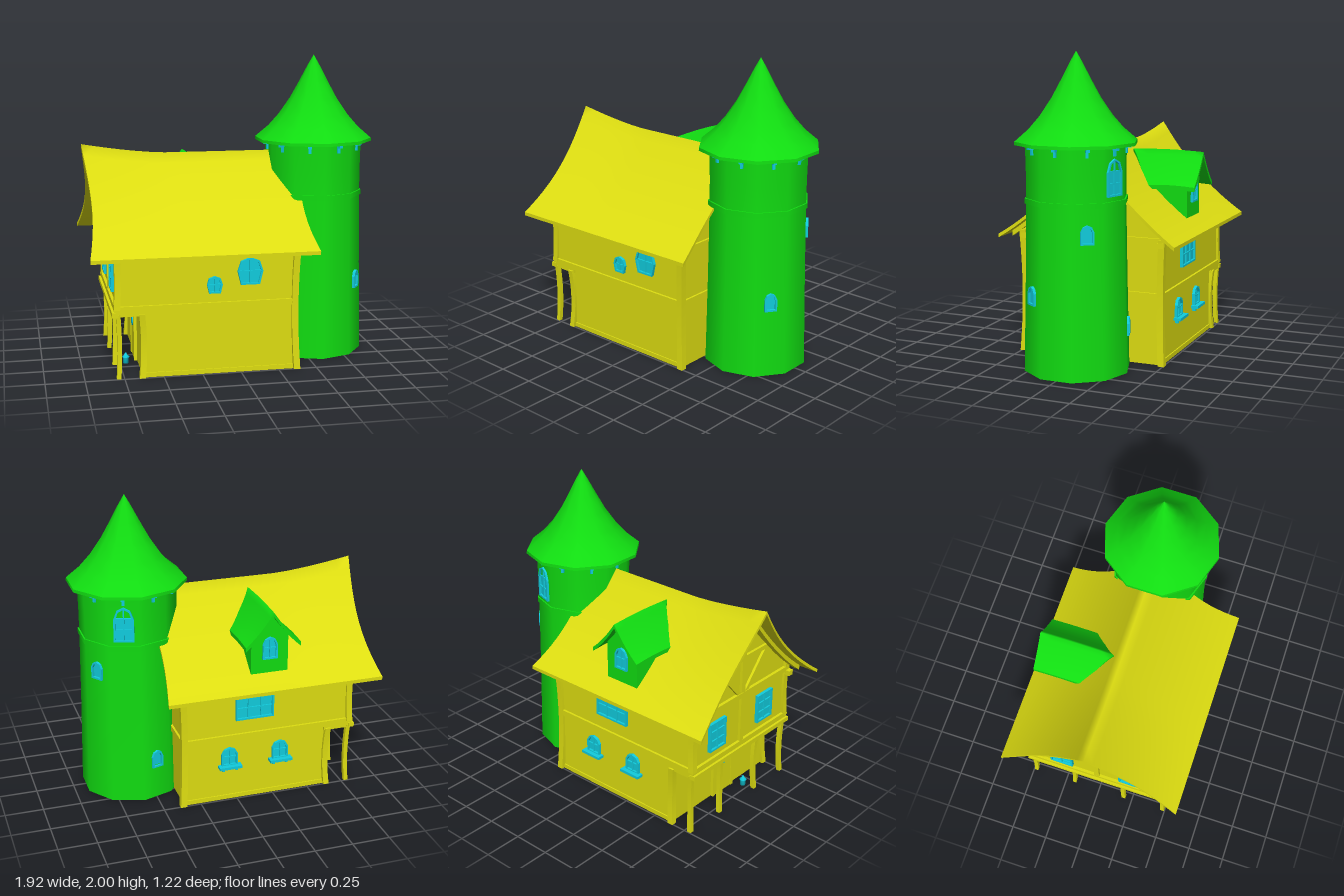
import * as THREE from 'three';

const mat = (c) => new THREE.MeshStandardMaterial({ color: c, side: THREE.DoubleSide });

export function createModel() {
  const yellow = mat(0xdddd11), green = mat(0x11dd11), cyan = mat(0x11ccdd);
  const root = new THREE.Group();
  root.name = 'cottageWithTower';

  const add = (name, geo, m, parent = root) => {
    const mesh = new THREE.Mesh(geo, m);
    mesh.name = name;
    parent.add(mesh);
    return mesh;
  };
  // Box given by its minimum and maximum corners
  const block = (name, a, b, m = yellow, parent = root) => {
    const mesh = add(name, new THREE.BoxGeometry(b[0] - a[0], b[1] - a[1], b[2] - a[2]), m, parent);
    mesh.position.set((a[0] + b[0]) / 2, (a[1] + b[1]) / 2, (a[2] + b[2]) / 2);
    return mesh;
  };
  // Move every vertex of a geometry by a rule, then refresh the normals
  const reshape = (geo, rule) => {
    const p = geo.attributes.position, v = new THREE.Vector3();
    for (let i = 0; i < p.count; i++) {
      rule(v.fromBufferAttribute(p, i));
      p.setXYZ(i, v.x, v.y, v.z);
    }
    geo.computeVertexNormals();
    return geo;
  };
  const polygon = (pts) => new THREE.Shape(pts.map(([x, y]) => new THREE.Vector2(x, y)));
  const extrude = (shape, depth) => new THREE.ExtrudeGeometry(shape, { depth, bevelEnabled: false });

  // ---------- windows ----------
  const outlines = {
    rect: [[-.5, 0], [.5, 0], [.5, 1], [-.5, 1]],
    arch: [[-.5, 0], [.5, 0], [.5, .65], [.33, .9], [0, 1], [-.33, .9], [-.5, .65]],
    round: [[-.37, 0], [.37, 0], [.5, .5], [.37, .87], [0, 1], [-.37, .87], [-.5, .5]],
  };
  // Framed window facing local +z, centred on its origin
  const addWindow = (name, kind, w, h, pos, turn, cols = 2, rows = 2, sill = false) => {
    const g = new THREE.Group();
    g.name = name;
    const f = 0.012;
    const outer = outlines[kind].map(([x, y]) => [x * w, (y - .5) * h]);
    const inner = outer.map(([x, y]) => [x * (1 - 2 * f / w), y * (1 - 2 * f / h)]);
    const frame = polygon(outer);
    frame.holes.push(polygon(inner));
    add('frame', extrude(frame, .035), cyan, g).position.z = -.02;
    add('pane', extrude(polygon(inner), .02), cyan, g).position.z = -.02;
    for (let i = 1; i < cols; i++) {
      const x = (i / cols - .5) * w;
      block('mullion', [x - .004, -h / 2 + f, -.01], [x + .004, h / 2 - f, .01], cyan, g);
    }
    for (let i = 1; i < rows; i++) {
      const y = (i / rows - .5) * h;
      block('glazingBar', [-w / 2 + f, y - .004, -.01], [w / 2 - f, y + .004, .01], cyan, g);
    }
    if (sill) {
      block('sill', [-w * .7, -h / 2 - .012, -.01], [w * .7, -h / 2 + .006, .045], cyan, g);
      for (const s of [-1, 1])
        block('sillBracket', [s * w * .4 - .008, -h / 2 - .035, -.01], [s * w * .4 + .008, -h / 2 - .01, .02], cyan, g);
    }
    g.position.set(...pos);
    g.rotation.y = turn;
    root.add(g);
  };

  // ---------- main roof ----------
  const roofY = (a) => 1.37 - 1.25 * a + .52 * a * a;
  const lift = (x, a) => .068 * Math.pow(Math.max(0, (-.4 - x) / .56), 1.5) * (1 - a / .61);
  const roofStrip = (x0, x1, half, thick, drop, sag) =>
    reshape(new THREE.BoxGeometry(1, 1, 1, 16, 1, 24), (v) => {
      const a = Math.abs(v.z) * 2 * half;
      v.x = (x0 + x1) / 2 + v.x * (x1 - x0 - sag * Math.sin(Math.PI * a / .61));
      v.z *= 2 * half;
      v.y = roofY(a) + lift(v.x, a) - drop + (v.y - .5) * thick;
    });
  add('mainRoof', roofStrip(-.96, .49, .61, .024, 0, .08), yellow);
  for (const x of [-.83, .37]) add('gableRafters', roofStrip(x - .02, x + .02, .56, .035, .024, 0), yellow);

  // ---------- house walls ----------
  const gable = [[-.48, .42], [.48, .42]];
  for (let i = 8; i >= -8; i--) gable.push([i * .06, roofY(Math.abs(i) * .06) - .02]);
  add('upperStorey', extrude(polygon(gable), 1.15).rotateY(Math.PI / 2).translate(-.79, 0, 0), yellow);

  const ring = polygon([[-.63, -.48], [.36, -.48], [.36, .48], [-.63, .48]]);
  ring.holes.push(polygon([[-.61, -.46], [.34, -.46], [.34, .46], [-.61, .46]]));
  add('lowerStorey', extrude(ring, .42).rotateX(-Math.PI / 2), yellow);

  // Bowed timber post, flaring outward at both ends
  const post = (name, x, z, y0, y1, t, bow) => add(name,
    reshape(new THREE.BoxGeometry(t, y1 - y0, t, 1, 8, 1), (v) => {
      const k = Math.pow(2 * v.y / (y1 - y0), 2);
      v.x += x + bow * k * Math.sign(x);
      v.y += (y0 + y1) / 2;
      v.z += z + bow * k * Math.sign(z);
    }), yellow);
  for (const s of [-1, 1]) {
    post('cornerPost', .355, s * .475, 0, .82, .042, .014);
    post('lowerCornerPost', -.625, s * .477, 0, .42, .038, .012);
    post('upperCornerPost', -.785, s * .473, .45, .86, .04, .008);
    for (const z of [.18, .475]) post('porchPillar', -.778, s * z, 0, .42, .028, .008);
    block('floorBeam', [-.81, .43, s * .482 - .014], [.365, .47, s * .482 + .014]);
    block('porchBeam', [-.825, .405, s * .475 - .02], [-.61, .435, s * .475 + .02]);
    block('wallPlate', [-.84, .765, s * .48 - .02], [.39, .8, s * .48 + .02]);
    block('basePlate', [-.62, 0, s * .478 - .01], [.35, .03, s * .478 + .01]);
  }

  // Timber framing on both gable ends
  for (const x of [-.795, .36]) {
    block('gableSill', [x - .014, .43, -.48], [x + .014, .47, .48]);
    block('tieBeam', [x - .016, .79, -.5], [x + .016, .825, .5]);
    block('kingPost', [x - .014, .82, -.018], [x + .014, 1.34, .018]);
    block('collarBeam', [x - .013, 1.05, -.25], [x + .013, 1.08, .25]);
    block('middleStud', [x - .013, .47, -.018], [x + .013, .79, .018]);
    for (const s of [-1, 1]) {
      const brace = block('gableBrace', [x - .012, .8, -.014], [x + .012, 1.1, .014]);
      brace.position.z = s * .13;
      brace.position.y = .93;
      brace.rotation.x = s * .72;
    }
  }
  block('porchEdgeBeam', [-.825, .405, -.5], [-.785, .435, .5]);

  // Porch door with a round light, and a lantern on the ground
  block('door', [-.645, 0, -.06], [-.605, .36, .12]);
  for (const z of [-.07, .12]) block('doorJamb', [-.65, 0, z - .012], [-.6, .38, z + .012]);
  block('doorLintel', [-.65, .36, -.09], [-.6, .385, .14]);
  const light = add('doorLight', new THREE.CylinderGeometry(.035, .035, .055, 8), cyan);
  light.position.set(-.625, .25, .03);
  light.rotation.z = Math.PI / 2;
  const lantern = add('lantern', new THREE.LatheGeometry(
    [[0, 0], [.018, 0], [.018, .04], [.026, .042], [.01, .058], [.005, .07], [0, .07]]
      .map(([r, y]) => new THREE.Vector2(r, y)), 8), cyan);
  lantern.position.set(-.71, 0, .17);

  // House windows
  addWindow('frontWindow', 'round', .165, .175, [.06, .665, .485], 0);
  addWindow('smallFrontWindow', 'round', .1, .11, [-.17, .585, .485], 0);
  addWindow('wideBackWindow', 'rect', .26, .16, [-.12, .65, -.485], Math.PI, 3, 2);
  for (const x of [.05, -.3]) addWindow('lowerBackWindow', 'arch', .11, .13, [x, .315, -.485], Math.PI, 2, 2, true);
  for (const z of [-.25, .24]) addWindow('gableWindow', 'rect', .16, .2, [-.797, .625, z], -Math.PI / 2, 2, 3);

  // ---------- dormer ----------
  const dormerY = (a) => 1.315 - 1.5 * a + 1.8 * a * a;
  add('dormerRoof', reshape(new THREE.BoxGeometry(.37, 1, 1, 16, 1, 6), (v) => {
    const a = Math.abs(v.x), t = v.z + .5;
    v.z = -.56 + t * (.5 - .16 * Math.pow(a / .185, .8));
    v.x -= .215;
    v.y = dormerY(a) + .008 * Math.sin(Math.PI * t) + (v.y - .5) * .028;
  }), green);
  const face = [[-.125, .87], [.125, .87]];
  for (let i = 5; i >= -5; i--) face.push([i * .025, dormerY(Math.abs(i) * .025) - .015]);
  add('dormerWalls', extrude(polygon(face), .36).translate(-.215, 0, -.49), green);
  addWindow('dormerWindow', 'arch', .1, .15, [-.215, 1.055, -.492], Math.PI);

  // ---------- tower ----------
  const tower = new THREE.Group();
  tower.name = 'tower';
  tower.position.x = .59;
  root.add(tower);
  const lathe = (name, pts) =>
    add(name, new THREE.LatheGeometry(pts.map(([r, y]) => new THREE.Vector2(r, y)), 10), green, tower);
  lathe('towerWall', [[.34, 0], [.334, .25], [.326, .6], [.318, 1.07], [.318, 1.25], [.322, 1.44]]);
  lathe('towerBandUnderside', [[.31, 1.067], [.328, 1.067]]);
  lathe('towerBand', [[.328, 1.067], [.328, 1.1]]);
  lathe('towerBandTop', [[.328, 1.1], [.31, 1.1]]);
  lathe('towerRoof', [[.388, 1.45], [.3, 1.525], [.23, 1.605], [.155, 1.715], [.092, 1.83], [.04, 1.93], [0, 2]]);
  lathe('towerRoofRim', [[.39, 1.43], [.388, 1.45]]);
  lathe('towerRoofUnderside', [[.3, 1.435], [.39, 1.43]]);

  // Eave brackets, one on each side of the tower
  for (let i = 0; i < 10; i++) {
    const g = new THREE.Group();
    g.name = 'eaveBracket';
    block('bracketArm', [-.012, 1.41, .28], [.012, 1.434, .34], cyan, g);
    block('bracketLeg', [-.009, 1.375, .28], [.009, 1.415, .318], cyan, g);
    g.rotation.y = (18 + 36 * i) * Math.PI / 180;
    tower.add(g);
  }

  // Tower windows: side angle, height, size, panes
  for (const [deg, y, w, h, r, cols, rows] of [
    [54, .505, .08, .12, .315, 1, 1], [126, .91, .085, .12, .307, 1, 1],
    [198, .28, .08, .12, .318, 1, 1], [162, 1.245, .13, .23, .303, 2, 3]]) {
    const t = deg * Math.PI / 180;
    addWindow('towerWindow', 'arch', w, h, [.59 + r * Math.sin(t), y, r * Math.cos(t)], t, cols, rows);
  }
  return root;
}
